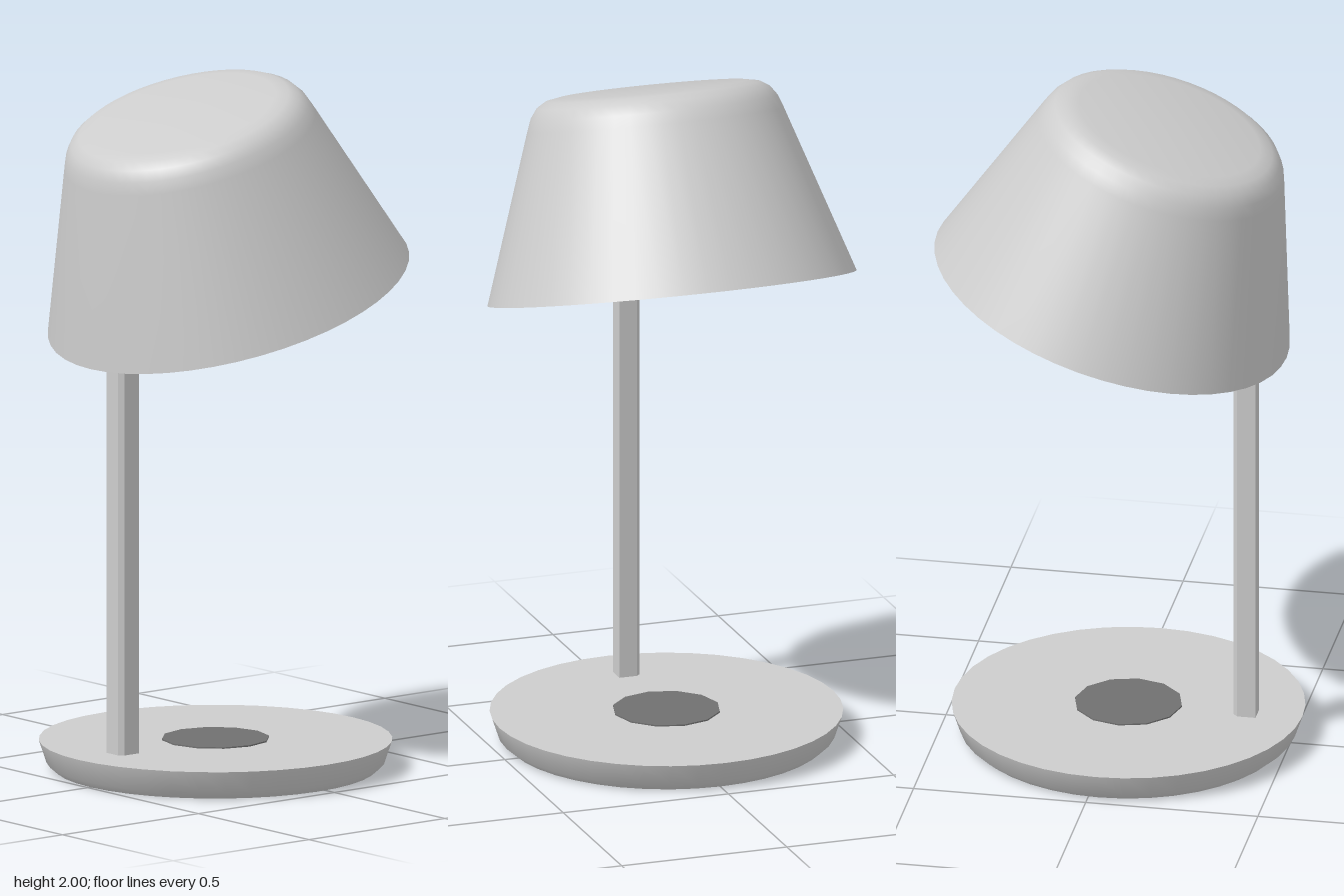
import * as THREE from 'three';
import { toCreasedNormals } from 'three/addons/utils/BufferGeometryUtils.js';

export function createModel() {
  const model = new THREE.Group();
  model.name = 'tableLamp';

  const lightGrey = new THREE.MeshStandardMaterial({ name: 'lightGrey', color: 0xcccccc });
  const darkGrey = new THREE.MeshStandardMaterial({ name: 'darkGrey', color: 0x707070 });

  function add(parent, name, geometry, material, x = 0, y = 0, z = 0) {
    const mesh = new THREE.Mesh(geometry, material);
    mesh.name = name;
    mesh.position.set(x, y, z);
    parent.add(mesh);
    return mesh;
  }

  // Turned part: profile runs from the underside outwards and up to the top centre
  function turned(profile, segments) {
    const points = profile.map(([r, y]) => new THREE.Vector2(r, y));
    return toCreasedNormals(new THREE.LatheGeometry(points, segments), 0.65);
  }

  // Shallow round foot with a flared edge
  const baseX = -0.03;
  add(model, 'base', turned([
    [0, 0], [0.46, 0], [0.483, 0.02], [0.505, 0.085], [0, 0.085],
  ], 40), lightGrey, baseX);
  add(model, 'basePad', new THREE.CylinderGeometry(0.155, 0.155, 0.006, 12), darkGrey, baseX, 0.086);

  // Slim post with two small corner chamfers
  const section = new THREE.Shape([
    [-0.033, -0.02], [-0.02, -0.033], [0.033, -0.033],
    [0.033, 0.02], [0.02, 0.033], [-0.033, 0.033],
  ].map(([x, y]) => new THREE.Vector2(x, y)));
  const post = new THREE.ExtrudeGeometry(section, { depth: 1.26, bevelEnabled: false });
  post.rotateX(-Math.PI / 2);
  add(model, 'post', post, lightGrey, -0.372, 0.07);

  // Tilted shade with a rounded top edge
  const shadeGroup = new THREE.Group();
  shadeGroup.name = 'shadeAssembly';
  shadeGroup.position.set(0.0175, 1.37, 0);
  shadeGroup.rotation.z = Math.atan2(0.31, 1.015);
  model.add(shadeGroup);
  add(shadeGroup, 'shade', turned([
    [0.505, 0.03], [0.515, 0], [0.53, 0], [0.368, 0.485],
    [0.355, 0.52], [0.335, 0.548], [0.308, 0.565], [0.27, 0.572], [0, 0.572],
  ], 48), lightGrey);

  // Recessed panel closing the underside, with the arm that holds it
  const panel = new THREE.CircleGeometry(0.506, 48).rotateX(Math.PI / 2);
  add(shadeGroup, 'diffuser', panel, lightGrey, 0, 0.03);
  add(shadeGroup, 'arm', new THREE.BoxGeometry(0.15, 0.012, 0.062), lightGrey, -0.345, 0.03);

  return model;
}
